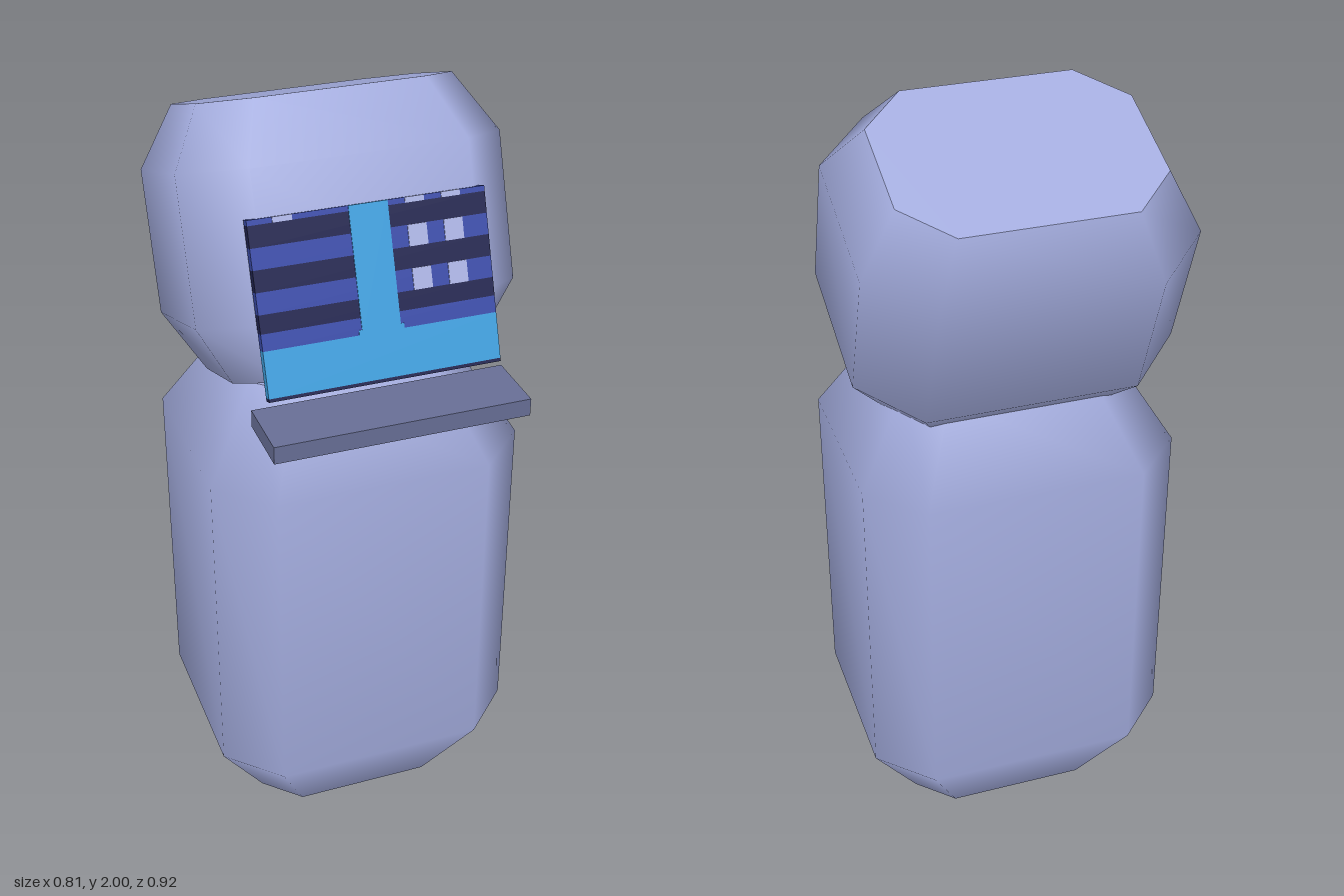
import * as THREE from 'three';

const mat = (name, color) => {
  const m = new THREE.MeshStandardMaterial({ color });
  m.name = name;
  return m;
};

// Eight-cornered loft: sections are [y, halfX, halfZ, chamfer]; smooth sides, flat caps
function loft(sections, cz) {
  const ring = ([y, hx, hz, c]) => [
    [hx, hz - c], [hx - c, hz], [c - hx, hz], [-hx, hz - c],
    [-hx, c - hz], [c - hx, -hz], [hx - c, -hz], [hx, c - hz],
  ].map(([x, z]) => [x, y, cz + z]);
  const rings = sections.map(ring);
  const pos = rings.flat(2), index = [];
  for (let i = 0; i < rings.length - 1; i++) {
    for (let j = 0; j < 8; j++) {
      const k = (j + 1) % 8, a = i * 8;
      index.push(a + j, a + 8 + j, a + 8 + k, a + j, a + 8 + k, a + k);
    }
  }
  const n = rings.length * 8;
  pos.push(...rings[0].flat(), ...rings[rings.length - 1].flat());
  for (let j = 1; j < 7; j++) {
    index.push(n, n + j, n + j + 1);
    index.push(n + 8, n + 8 + j + 1, n + 8 + j);
  }
  const g = new THREE.BufferGeometry();
  g.setAttribute('position', new THREE.Float32BufferAttribute(pos, 3));
  g.setIndex(index);
  g.computeVertexNormals();
  return g;
}

export function createModel() {
  const lavender = mat('lavender', 0xa4addf);
  const slate = mat('slate', 0x686f96);
  const navy = mat('navy', 0x20234f);
  const blue = mat('blue', 0x3a4ba8);
  const sky = mat('sky blue', 0x3f9fdd);
  const pale = mat('pale lilac', 0xabb3e3);

  const model = new THREE.Group();
  model.name = 'model';
  const add = (parent, name, geometry, material) => {
    const m = new THREE.Mesh(geometry, material);
    m.name = name;
    parent.add(m);
    return m;
  };
  // Box given by its limits on each axis
  const box = (parent, name, material, x0, x1, y0, y1, z0, z1) =>
    add(parent, name, new THREE.BoxGeometry(x1 - x0, y1 - y0, z1 - z0), material)
      .position.set((x0 + x1) / 2, (y0 + y1) / 2, (z0 + z1) / 2);

  // Body
  add(model, 'body', loft([
    [0, 0.27, 0.223, 0.09], [0.23, 0.405, 0.36, 0.13],
    [1.1, 0.405, 0.36, 0.13], [1.323, 0.27, 0.223, 0.09],
  ], -0.0175), lavender);

  // Shelf in front of the head
  box(model, 'shelf', slate, -0.318, 0.318, 1.305, 1.35, 0.288, 0.46);

  // Head and face panel, tipped backward together
  const head = new THREE.Group();
  head.name = 'headGroup';
  head.rotation.x = THREE.MathUtils.degToRad(-20);
  model.add(head);
  add(head, 'head', loft([
    [1.213, 0.32, 0.237, 0.11], [1.365, 0.405, 0.326, 0.14],
    [1.725, 0.405, 0.326, 0.14], [1.875, 0.32, 0.237, 0.11],
  ], 0.468), lavender);

  // Face panel: stacked coloured bands from bottom to top
  const panel = new THREE.Group();
  panel.name = 'facePanel';
  head.add(panel);
  const W = 0.29, back = 0.775, front = 0.799;
  const levels = [1.194, 1.202, 1.313, 1.353, 1.397, 1.448, 1.499, 1.549, 1.6, 1.613];
  const colours = [navy, sky, blue, navy, blue, navy, blue, navy, blue];
  colours.forEach((c, i) =>
    box(panel, 'panelBand', c, -W, W, levels[i], levels[i + 1], back, front));

  // Central stem and small pale squares
  const plate = front + 0.002;
  box(panel, 'panelStem', sky, -0.048, 0.048, 1.31, 1.613, front - 0.004, plate);
  box(panel, 'panelStemFoot', sky, -0.056, 0.056, 1.31, 1.325, front - 0.004, plate);
  for (const x of [0.09, 0.18]) {
    for (const [y0, y1] of [[1.397, 1.448], [1.499, 1.549], [1.6, 1.613]])
      box(panel, 'paleSquare', pale, x, x + 0.047, y0, y1, front - 0.004, plate);
  }
  box(panel, 'paleSquare', pale, -0.23, -0.183, 1.6, 1.613, front - 0.004, plate);

  return model;
}
